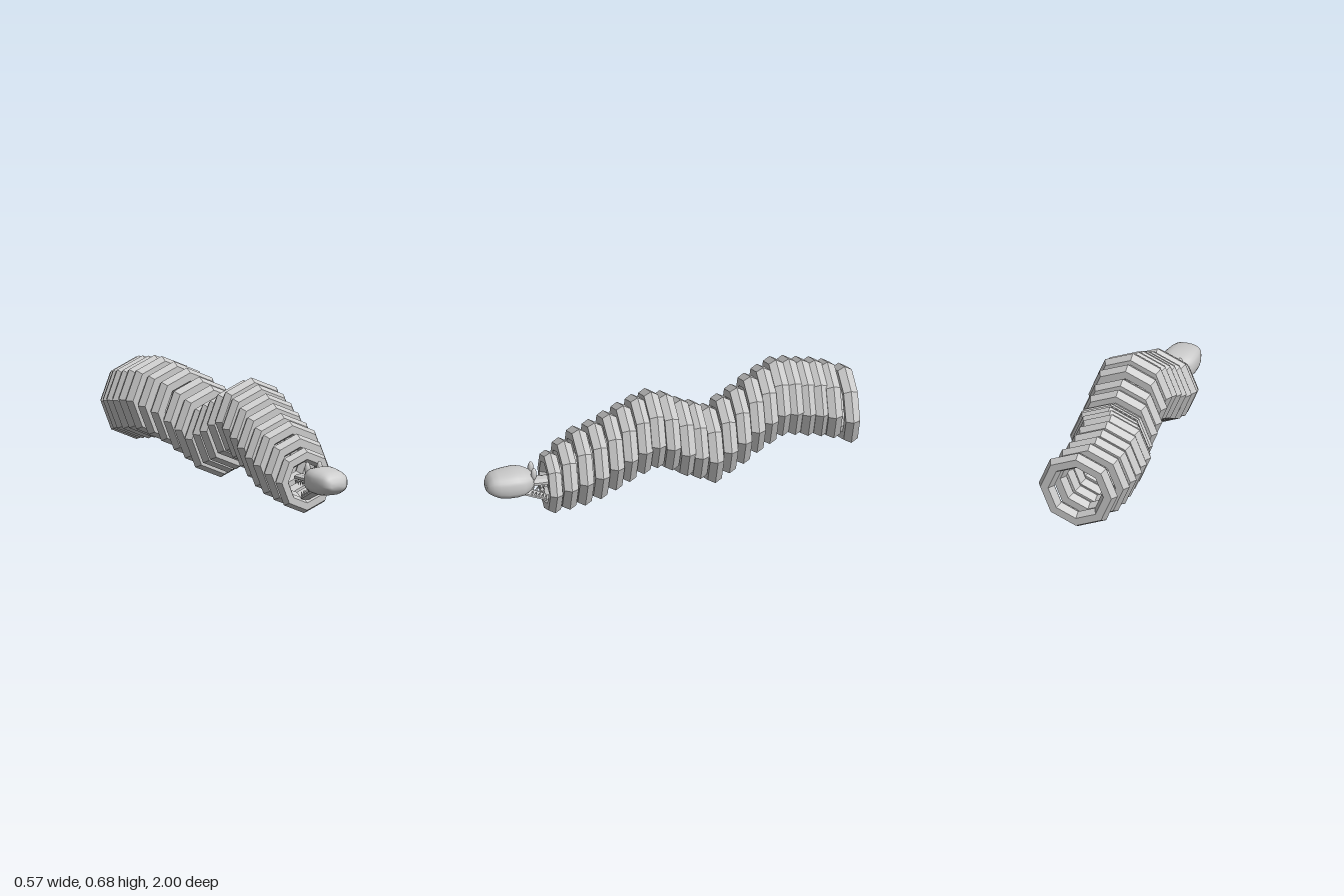
import * as THREE from 'three';

const smooth = new THREE.MeshStandardMaterial({ color: 0xcccccc });
const faceted = new THREE.MeshStandardMaterial({ color: 0xcccccc, flatShading: true });
const CX = 0.066; // x of the head and of the straight front of the body

function add(parent, name, geometry, material, x = 0, y = 0, z = 0) {
  const mesh = new THREE.Mesh(geometry, material);
  mesh.name = name;
  mesh.position.set(x, y, z);
  parent.add(mesh);
  return mesh;
}

// Rounded skin over sections [z, halfWidth, bottom, top], ordered back to front
function loft(sections, sides = 24) {
  const pos = [], index = [];
  const bulge = (v) => Math.sign(v) * Math.abs(v) ** 0.75;
  sections.forEach(([z, w, bottom, top], i) => {
    for (let j = 0; j < sides; j++) {
      const a = (j / sides) * Math.PI * 2;
      pos.push(w * bulge(Math.cos(a)), (top + bottom) / 2 + ((top - bottom) / 2) * bulge(Math.sin(a)), z);
      if (i === 0) continue;
      const k = (j + 1) % sides, p = (i - 1) * sides, q = i * sides;
      index.push(p + j, p + k, q + k, p + j, q + k, q + j);
    }
  });
  const g = new THREE.BufferGeometry();
  g.setAttribute('position', new THREE.Float32BufferAttribute(pos, 3));
  g.setIndex(index);
  g.computeVertexNormals();
  return g;
}

function makeBody() {
  const body = new THREE.Group();
  body.name = 'body';
  // Each ring: z, x, top height
  const rings = [
    [0.65, CX, 0.353], [0.575, CX, 0.417], [0.495, CX, 0.476], [0.41, CX, 0.505],
    [0.33, CX, 0.548], [0.255, CX, 0.59], [0.177, CX, 0.628], [0.105, CX, 0.655],
    [0.024, CX, 0.631], [-0.056, CX, 0.586], [-0.128, CX, 0.559], [-0.208, CX, 0.524],
    [-0.288, 0.05, 0.564], [-0.368, 0.03, 0.6], [-0.448, 0, 0.64], [-0.525, -0.033, 0.666],
    [-0.6, -0.063, 0.687], [-0.67, -0.065, 0.684], [-0.739, -0.062, 0.671],
    [-0.808, -0.056, 0.663], [-0.873, -0.04, 0.652], [-0.959, -0.003, 0.634],
  ];
  rings.forEach(([z, x, top], i) => {
    const outer = [0.175, 0.2][i] ?? 0.221;
    const tube = i === 0 ? 0.039 : 0.044;
    add(body, 'bodyRing', new THREE.TorusGeometry(outer - tube, tube, 6, 8), faceted, x, top - outer, z);
  });
  return body;
}

// Jaw bar reaching backward from its hinge at the origin
function makeJaw(name, width, height, length) {
  const jaw = new THREE.Group();
  jaw.name = name;
  const geo = new THREE.CylinderGeometry(0.5, 0.42, 1, 8);
  geo.rotateY(Math.PI / 8).rotateX(Math.PI / 2).scale(width * 1.08, height * 1.08, length);
  geo.translate(0, 0, -length / 2);
  add(jaw, name + 'Bone', geo, faceted);
  return jaw;
}

// Two rows of cone teeth along a jaw; dir is +1 for upward, -1 for downward
function addTeeth(jaw, dir, width, height, length) {
  for (const side of [-1, 1]) {
    for (let i = 0; i < 5; i++) {
      const tooth = add(jaw, 'tooth', new THREE.ConeGeometry(0.007, 0.026, 6), smooth,
        side * width * 0.36, dir * (height / 2 + 0.009), -length * (0.4 + 0.135 * i));
      if (dir < 0) tooth.rotation.x = Math.PI;
    }
  }
}

function makeHead() {
  const head = new THREE.Group();
  head.name = 'head';
  head.position.x = CX;

  // Skull, blunt at the outer end
  add(head, 'skull', loft([
    [0.748, 0, 0.205, 0.205], [0.748, 0.05, 0.175, 0.24], [0.765, 0.068, 0.157, 0.256],
    [0.80, 0.09, 0.138, 0.27], [0.84, 0.098, 0.132, 0.277], [0.89, 0.096, 0.13, 0.272],
    [0.935, 0.089, 0.136, 0.266], [0.967, 0.078, 0.15, 0.258], [0.988, 0.063, 0.162, 0.238],
    [1, 0.042, 0.174, 0.214], [1, 0, 0.194, 0.194],
  ]), smooth);

  // Open jaws pointing into the first ring
  const upper = makeJaw('upperJaw', 0.09, 0.036, 0.18);
  upper.position.set(0, 0.193, 0.79);
  addTeeth(upper, -1, 0.09, 0.036, 0.18);
  const lower = makeJaw('lowerJaw', 0.084, 0.026, 0.15);
  lower.position.set(0, 0.148, 0.815);
  lower.rotation.x = -0.4;
  addTeeth(lower, 1, 0.084, 0.026, 0.15);
  head.add(upper, lower);

  // Tall eyes at the base of the upper jaw
  for (const side of [-1, 1]) {
    const eye = add(head, 'eye', new THREE.SphereGeometry(1, 16, 12), smooth, side * 0.037, 0.255, 0.748);
    eye.scale.set(0.016, 0.036, 0.016);
  }
  return head;
}

export function createModel() {
  const model = new THREE.Group();
  model.name = 'ringedWorm';
  model.add(makeBody(), makeHead());
  return model;
}
